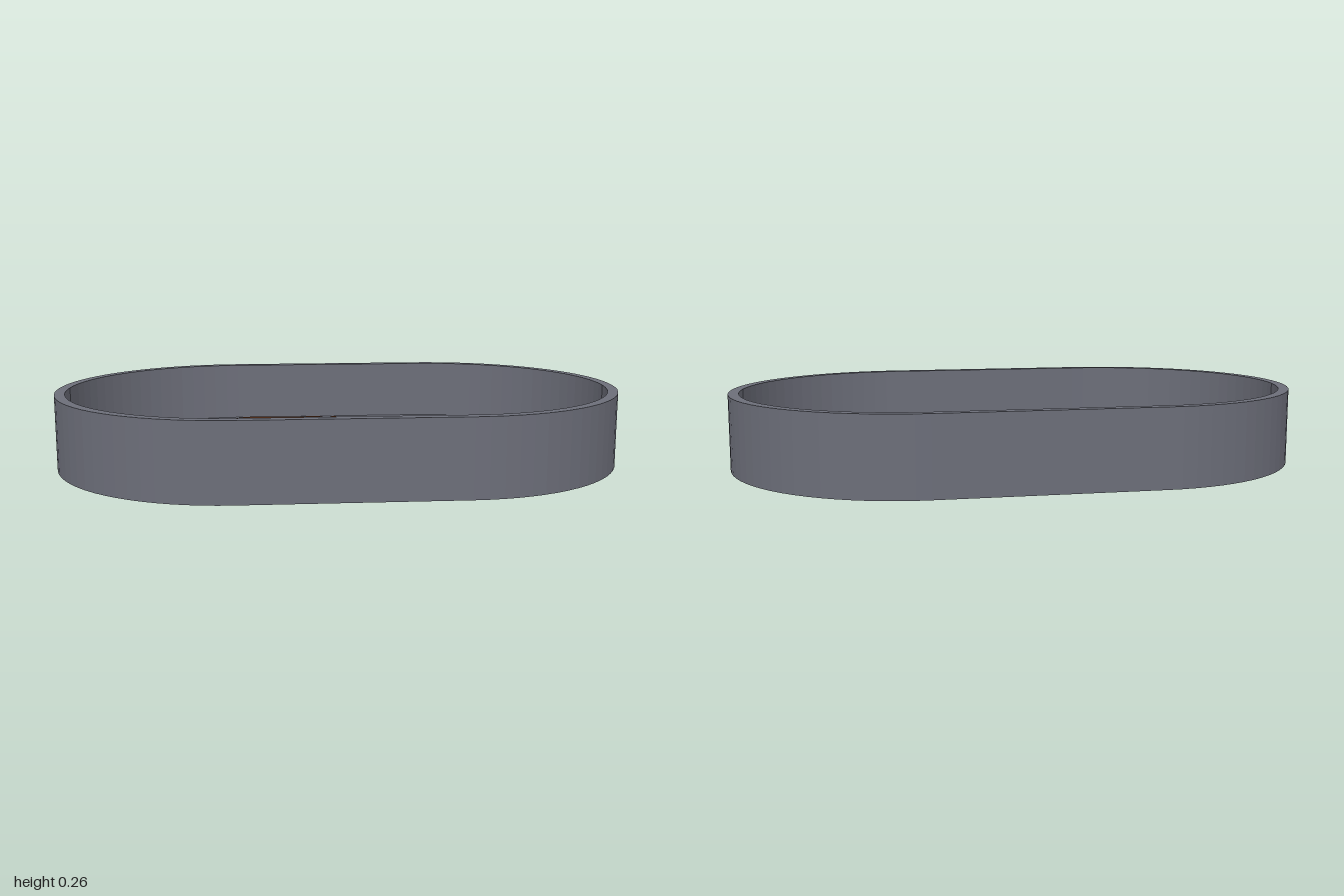
import * as THREE from 'three';

const HALF_STRAIGHT = 0.37, RADIUS = 0.63, WALL = 0.036, HEIGHT = 0.263, FLOOR_Y = 0.04;

// Stadium outline: two half circles joined by straight sides
function stadium(r, Type = THREE.Shape) {
  const s = new Type();
  s.moveTo(-HALF_STRAIGHT, -r);
  s.lineTo(HALF_STRAIGHT, -r);
  s.absarc(HALF_STRAIGHT, 0, r, -Math.PI / 2, Math.PI / 2, false);
  s.lineTo(-HALF_STRAIGHT, r);
  s.absarc(-HALF_STRAIGHT, 0, r, Math.PI / 2, Math.PI * 1.5, false);
  return s;
}

// Upright prism of a shape, standing at height y
function slab(shape, y, height) {
  const g = new THREE.ExtrudeGeometry(shape, { depth: height, bevelEnabled: false, curveSegments: 20 });
  return g.rotateX(-Math.PI / 2).translate(0, y, 0);
}

// Wire paths over the floor, as [x, z] pairs
const WIRES = {
  outerWire: [
    [-0.24, -0.09], [-0.18, -0.085], [-0.12, -0.1], [-0.08, -0.16], [-0.13, -0.27], [-0.165, -0.37], [-0.11, -0.47],
    [-0.02, -0.545], [-0.17, -0.555], [-0.31, -0.565], [-0.36, -0.55], [-0.46, -0.45], [-0.61, -0.39], [-0.79, -0.32],
    [-0.85, -0.22], [-0.92, 0.01], [-0.7, 0.165], [-0.57, 0.32], [-0.55, 0.43], [-0.6, 0.495], [-0.69, 0.465],
    [-0.74, 0.41], [-0.7, 0.36], [-0.5, 0.325], [-0.2, 0.34], [0.05, 0.4], [0.25, 0.455], [0.4, 0.44],
    [0.47, 0.36], [0.45, 0.23], [0.37, 0.05]],
  spiralWire: [
    [0.02, -0.55], [0.2, -0.48], [0.39, -0.35], [0.55, -0.19], [0.68, 0], [0.705, 0.14], [0.63, 0.29], [0.48, 0.38],
    [0.3, 0.4], [0.1, 0.36], [0, 0.27], [0, 0.14], [0.07, 0.075], [0.15, 0.08], [0.18, 0.15], [0.14, 0.24],
    [0.03, 0.31], [-0.09, 0.32], [-0.2, 0.24], [-0.3, 0.06]],
  waveWire: [
    [-0.28, 0], [-0.2, 0.12], [-0.12, 0.155], [-0.02, 0.11], [0.15, 0], [0.28, -0.03], [0.39, -0.005]],
  sideWire: [
    [0.4, -0.08], [0.36, -0.32], [0.39, -0.365], [0.5, -0.35], [0.68, -0.27], [0.76, -0.19], [0.76, -0.13],
    [0.735, -0.03], [0.76, 0.045], [0.83, 0.065], [0.9, 0.05]],
  wireNub: [[-0.965, -0.025], [-0.95, -0.02]],
};

// Round wire with closed ends following a path along the floor
function wire(points, material) {
  const group = new THREE.Group();
  const path = points.map(([x, z]) => new THREE.Vector3(x, FLOOR_Y, z));
  const curve = new THREE.CatmullRomCurve3(path);
  group.add(new THREE.Mesh(new THREE.TubeGeometry(curve, points.length * 6, 0.011, 8), material));
  for (const end of [path[0], path[path.length - 1]]) {
    const cap = new THREE.Mesh(new THREE.SphereGeometry(0.011, 8, 6), material);
    cap.position.copy(end);
    group.add(cap);
  }
  return group;
}

export function createModel() {
  const model = new THREE.Group();
  const grey = new THREE.MeshStandardMaterial({ color: 0x6c6e79 });
  grey.name = 'slate grey';
  const brown = new THREE.MeshStandardMaterial({ color: 0x42210f });
  brown.name = 'dark brown';

  // Ring wall
  const ring = stadium(RADIUS);
  ring.holes.push(stadium(RADIUS - WALL, THREE.Path));
  const wall = new THREE.Mesh(slab(ring, 0, HEIGHT), grey);
  wall.name = 'wall';

  // Thin floor, raised a little above the wall's foot
  const floor = new THREE.Mesh(slab(stadium(RADIUS - WALL + 0.003), FLOOR_Y - 0.004, 0.008), grey);
  floor.name = 'floor';
  model.add(wall, floor);

  // Wires half sunk in the floor
  for (const [name, points] of Object.entries(WIRES)) {
    const w = wire(points, brown);
    w.name = name;
    model.add(w);
  }
  return model;
}
